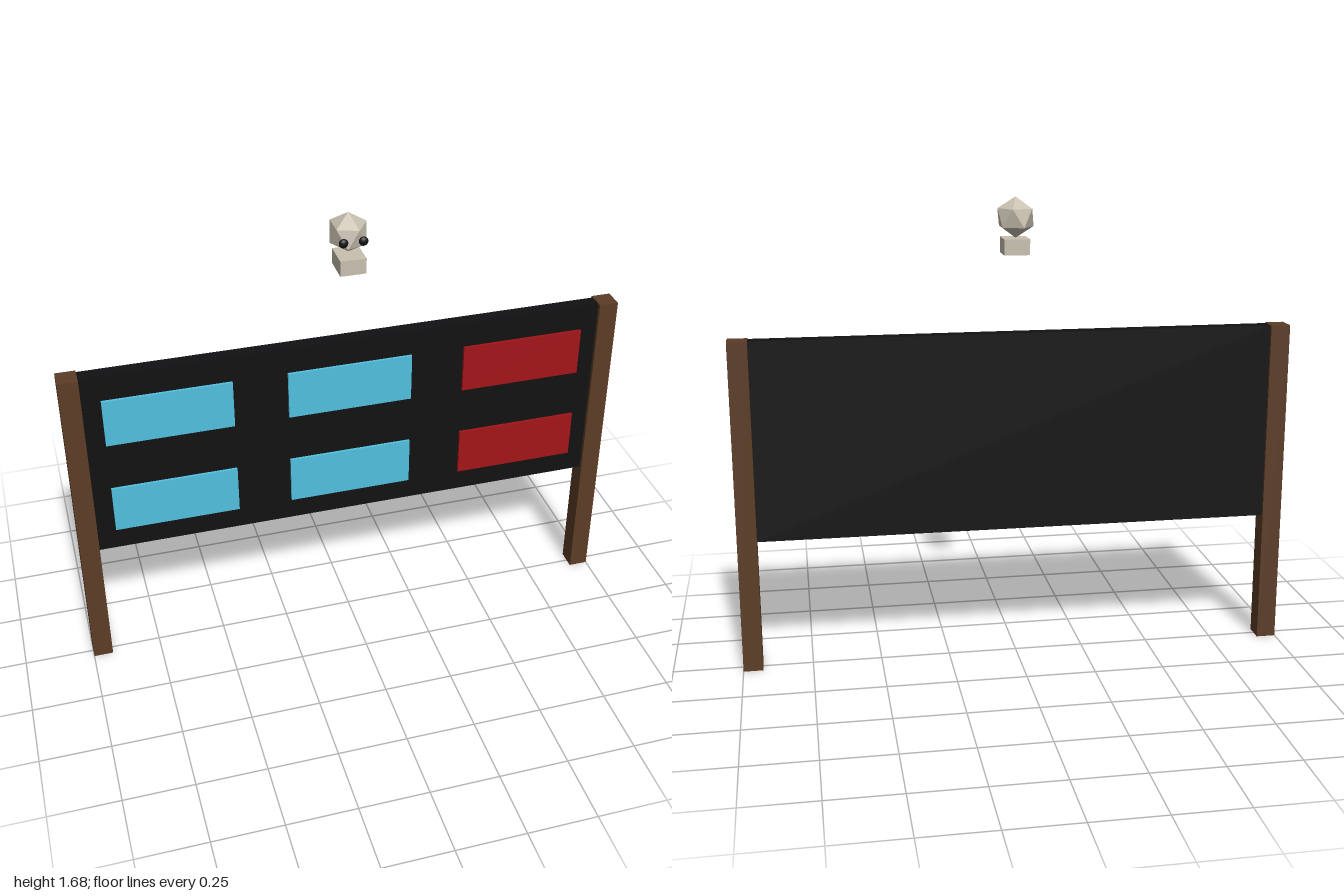
import * as THREE from 'three';

const paint = (color, flatShading = false) => new THREE.MeshStandardMaterial({ color, flatShading });

function add(parent, name, geometry, material, x, y, z) {
  const mesh = new THREE.Mesh(geometry, material);
  mesh.name = name;
  mesh.position.set(x, y, z);
  parent.add(mesh);
  return mesh;
}

export function createModel() {
  const model = new THREE.Group();
  model.name = 'signBoard';

  const wood = paint(0x5c3d26);
  const black = paint(0x111113);
  const blue = paint(0x52c0e0);
  const red = paint(0xa31418);
  const bone = paint(0xc8c0b0, true);

  // Two square posts carrying the board
  const post = new THREE.BoxGeometry(0.07, 1.205, 0.073);
  add(model, 'rightPost', post, wood, -0.965, 0.6025, -0.004);
  add(model, 'leftPost', post, wood, 0.965, 0.6025, -0.004);
  add(model, 'board', new THREE.BoxGeometry(1.86, 0.72, 0.048), black, 0, 0.845, -0.006);

  // Three columns by two rows of thin panels
  const panels = new THREE.Group();
  panels.name = 'panels';
  model.add(panels);
  const panel = new THREE.BoxGeometry(0.447, 0.178, 0.01);
  for (const y of [1.024, 0.663]) {
    for (const column of [-1, 0, 1]) {
      add(panels, column === 1 ? 'redPanel' : 'bluePanel', panel, column === 1 ? red : blue, column * 0.641, y, 0.03);
    }
  }

  // Floating faceted head with a separate jaw block and two eyes
  const head = new THREE.Group();
  head.name = 'head';
  model.add(head);
  const skull = new THREE.IcosahedronGeometry(0.071, 0);
  skull.rotateZ(-Math.atan(2 / (1 + Math.sqrt(5)))); // one corner straight up
  skull.scale(1, 1, 1.12);
  add(head, 'skull', skull, bone, 0, 1.606, 0);
  add(head, 'jaw', new THREE.BoxGeometry(0.09, 0.055, 0.104), bone, 0, 1.506, 0.013);

  const eye = new THREE.SphereGeometry(0.016, 16, 10);
  eye.scale(1, 1, 0.65);
  for (const side of [-1, 1]) {
    add(head, side < 0 ? 'rightEye' : 'leftEye', eye, black, side * 0.034, 1.598, 0.065);
  }

  return model;
}
